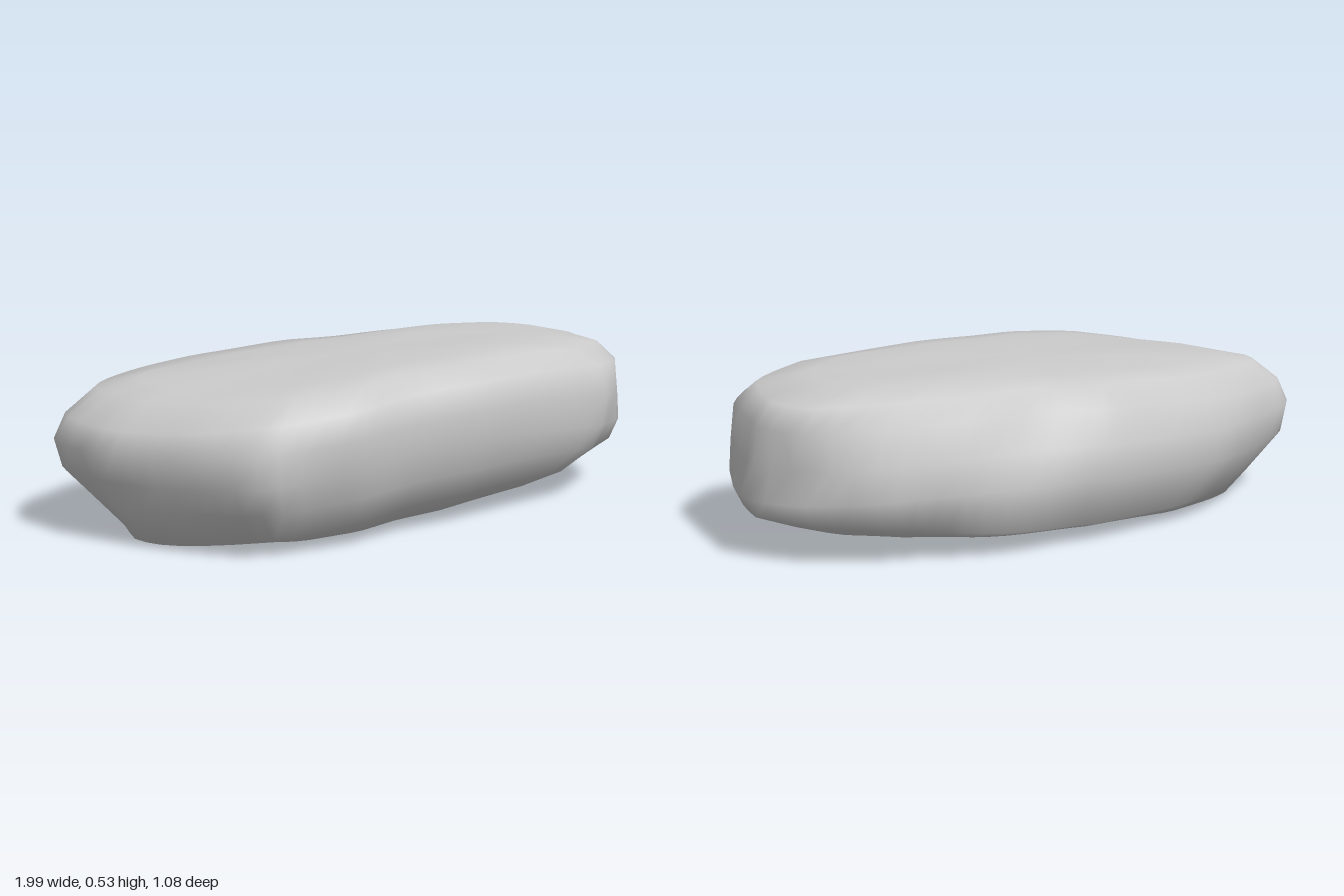
import * as THREE from 'three';
import { mergeVertices } from 'three/addons/utils/BufferGeometryUtils.js';

// Plan outline of the stone (x, z): left end, back, right end, front
const OUTLINE = [
  [-1, -0.24], [-0.97, -0.33], [-0.89, -0.38], [-0.44, -0.53], [0, -0.545], [0.5, -0.42],
  [0.75, -0.33], [0.93, -0.17], [1, 0.01], [0.97, 0.14], [0.91, 0.27], [0.68, 0.44],
  [0.3, 0.485], [0.12, 0.51], [-0.15, 0.505], [-0.39, 0.535], [-0.68, 0.47], [-0.78, 0.36],
  [-0.84, 0.27], [-0.97, -0.03],
];

// Side profiles from underside to top: [fraction of the outline, height]
const PROFILES = {
  right: [[0, 0.025], [0.4, 0.045], [0.7, 0.065], [0.83, 0.085], [0.97, 0.14], [1, 0.2], [0.97, 0.3],
    [0.945, 0.42], [0.89, 0.49], [0.72, 0.532], [0.4, 0.53], [0, 0.525]],
  left: [[0, 0.025], [0.4, 0.015], [0.7, 0.01], [0.86, 0.012], [0.93, 0.13], [0.97, 0.21], [1, 0.3],
    [0.96, 0.37], [0.86, 0.45], [0.74, 0.48], [0.4, 0.505], [0, 0.525]],
  front: [[0, 0.025], [0.35, 0.025], [0.65, 0.035], [0.83, 0.1], [0.93, 0.19], [0.975, 0.28], [1, 0.385],
    [0.95, 0.47], [0.78, 0.517], [0.57, 0.527], [0.3, 0.527], [0, 0.525]],
  back: [[0, 0.025], [0.3, 0.02], [0.5, 0.022], [0.75, 0.04], [0.87, 0.065], [1, 0.22], [0.95, 0.32],
    [0.9, 0.43], [0.78, 0.495], [0.52, 0.51], [0.3, 0.52], [0, 0.525]],
};

// Local chips (positive depth) and bumps (negative depth) in the sides
const RELIEF = [
  { x: 0.9, y: 0.3, z: -0.18, r: 0.08, depth: 0.04 },
  { x: 0.86, y: 0.46, z: -0.18, r: 0.16, depth: -0.07 },
  { x: 0.74, y: 0.48, z: 0.32, r: 0.18, depth: -0.06 },
  { x: 0.18, y: 0.46, z: -0.42, r: 0.15, depth: 0.08 },
  { x: 0.3, y: 0.06, z: -0.38, r: 0.18, depth: -0.1 },
  { x: -0.55, y: 0.46, z: -0.4, r: 0.22, depth: -0.08 },
  { x: -0.42, y: 0.48, z: 0.48, r: 0.14, depth: -0.03 },
  { x: -0.62, y: 0.2, z: 0.42, r: 0.15, depth: -0.04 },
  { x: -0.84, y: 0.03, z: -0.25, r: 0.18, depth: 0.08 },
  { x: -0.82, y: 0.05, z: 0.1, r: 0.16, depth: -0.04 },
];

// The long sides rise slightly towards the right end
const TILT = 0.03;

function stoneGeometry(segments = 72) {
  // Zero tension keeps the outline straight between its corners
  const corners = OUTLINE.map(([x, z]) => new THREE.Vector3(x, 0, z));
  const curve = new THREE.CatmullRomCurve3(corners, true, 'catmullrom', 0);
  const rim = curve.getSpacedPoints(segments).slice(0, segments);
  const rings = PROFILES.right.length;
  const positions = [], indices = [];

  for (let i = 0; i < rings; i++) {
    for (const p of rim) {
      // Blend the end profile with the front or back profile by direction
      const wx = p.x ** 2, wz = (p.z / 0.54) ** 2, t = wz / (wx + wz);
      const end = (p.x > 0 ? PROFILES.right : PROFILES.left)[i];
      const side = (p.z > 0 ? PROFILES.front : PROFILES.back)[i];
      let s = THREE.MathUtils.lerp(end[0], side[0], t);
      const y = THREE.MathUtils.lerp(end[1], side[1], t) + TILT * p.x * s * t;
      for (const d of RELIEF) {
        const dist = Math.hypot(p.x * s - d.x, y - d.y, p.z * s - d.z) / d.r;
        s *= 1 - d.depth * Math.exp(-dist * dist);
      }
      positions.push(p.x * s, y, p.z * s);
    }
  }
  for (let i = 0; i < rings - 1; i++) {
    for (let j = 0; j < segments; j++) {
      const k = (j + 1) % segments;
      const a = i * segments + j, b = i * segments + k, c = a + segments, d = b + segments;
      // The first and last rings are poles, closed by single triangles
      if (i > 0) indices.push(a, c, b);
      if (i < rings - 2) indices.push(b, c, d);
    }
  }
  let geometry = new THREE.BufferGeometry();
  geometry.setAttribute('position', new THREE.Float32BufferAttribute(positions, 3));
  geometry.setIndex(indices);
  geometry = mergeVertices(geometry, 1e-5);
  geometry.computeVertexNormals();
  return geometry;
}

export function createModel() {
  const group = new THREE.Group();
  group.name = 'flatStone';
  const stone = new THREE.Mesh(stoneGeometry(), new THREE.MeshStandardMaterial({ color: 0xcccccc }));
  stone.name = 'stone';
  // Settle on the ground and centre
  stone.geometry.computeBoundingBox();
  const { min, max } = stone.geometry.boundingBox;
  stone.position.set(-(min.x + max.x) / 2, -min.y, -(min.z + max.z) / 2);
  group.add(stone);
  return group;
}
